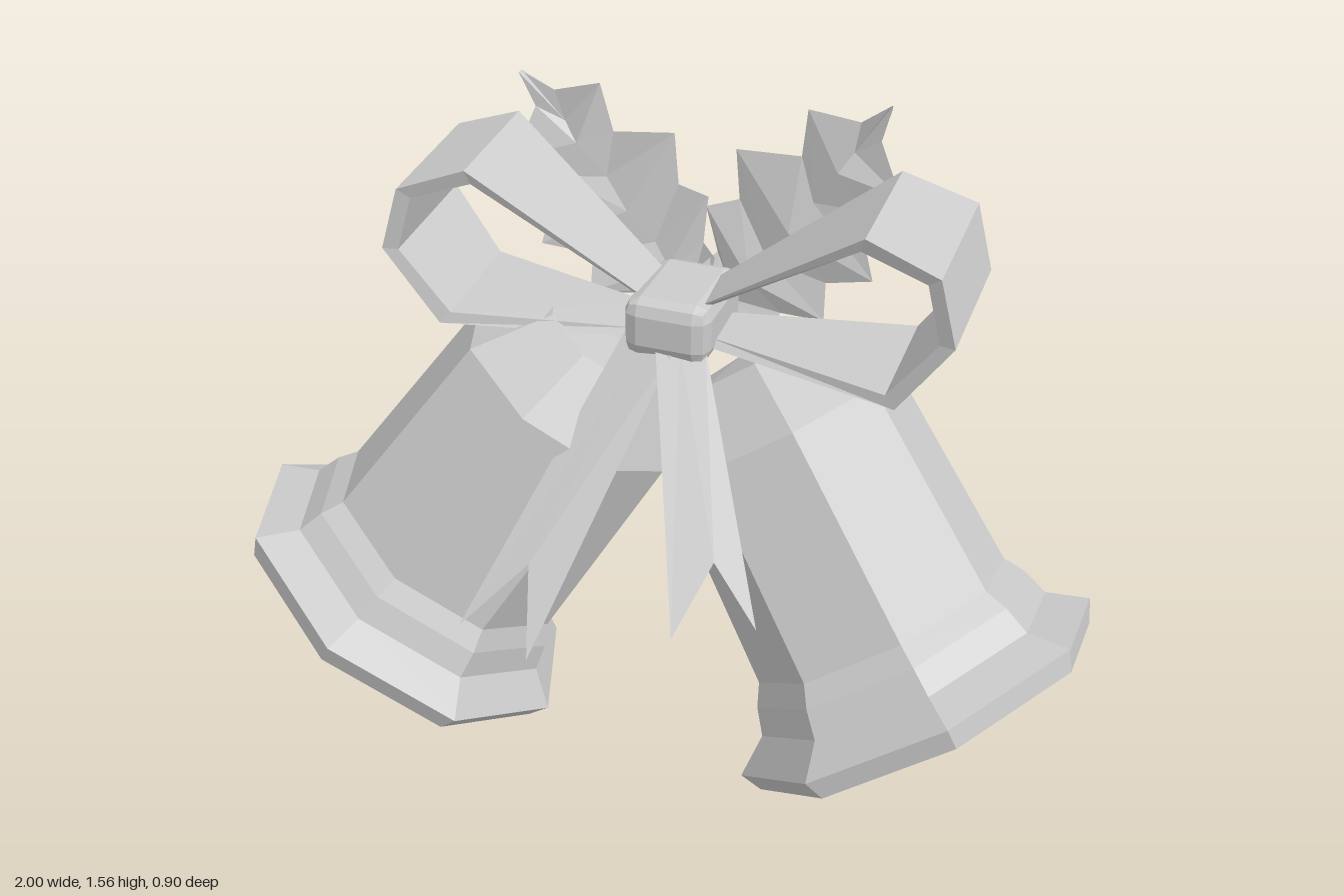
import * as THREE from 'three';
import { RoundedBoxGeometry } from 'three/addons/geometries/RoundedBoxGeometry.js';

const solid = new THREE.MeshStandardMaterial({ color: 0xcccccc, flatShading: true });
const thin = new THREE.MeshStandardMaterial({ color: 0xcccccc, flatShading: true, side: THREE.DoubleSide });

function mesh(name, geometry, material = solid) {
  const m = new THREE.Mesh(geometry, material);
  m.name = name;
  return m;
}

// Skin between successive rows of points
function skin(rows, closed = false) {
  const n = rows[0].length, index = [];
  const iMax = closed ? rows.length : rows.length - 1;
  const jMax = closed ? n : n - 1;
  for (let i = 0; i < iMax; i++) {
    for (let j = 0; j < jMax; j++) {
      const next = ((i + 1) % rows.length) * n;
      const a = i * n + j, b = i * n + (j + 1) % n;
      const c = next + j, d = next + (j + 1) % n;
      index.push(a, c, b, b, c, d);
    }
  }
  const g = new THREE.BufferGeometry();
  g.setAttribute('position', new THREE.Float32BufferAttribute(rows.flat(2), 3));
  g.setIndex(index);
  g.computeVertexNormals();
  return g;
}

// Bell: eight-sided hollow shell with a stepped lip, plus clapper; origin at the mouth
function bell(name, mouth, axis, turn) {
  const profile = [
    [0, 0.78], [0.15, 0.77], [0.26, 0.66], [0.315, 0.08], [0.425, -0.035],
    [0.45, 0.015], [0.365, 0.075], [0.345, 0.14], [0.315, 0.19],
    [0.29, 0.70], [0.17, 0.86], [0, 0.88],
  ].map(([r, y]) => new THREE.Vector2(r, y));
  const g = new THREE.Group();
  g.name = name;
  const shell = mesh('bellShell', new THREE.LatheGeometry(profile, 8, THREE.MathUtils.degToRad(turn)), thin);
  const ball = mesh('clapperBall', new THREE.SphereGeometry(0.13, 8, 5));
  ball.position.y = 0.1;
  const stem = mesh('clapperStem', new THREE.CylinderGeometry(0.035, 0.035, 0.6, 6));
  stem.position.y = 0.48;
  g.add(shell, ball, stem);
  g.position.set(...mouth);
  const up = new THREE.Vector3(...axis).negate().normalize();
  g.quaternion.setFromUnitVectors(new THREE.Vector3(0, 1, 0), up);
  return g;
}

// Bow loop: closed strip, narrow at the knot, wide at the outer end, back edge a little higher
function bowLoop(name, path, zOuter) {
  const cx = path.reduce((s, p) => s + p[0], 0) / path.length;
  const cy = path.reduce((s, p) => s + p[1], 0) / path.length;
  const rows = path.map(([x, y, half]) => {
    const z = half < 0.1 ? -0.15 : zOuter;
    const dx = cx - x, dy = cy - y, l = Math.hypot(dx, dy);
    const ix = x + dx / l * 0.035, iy = y + dy / l * 0.035;
    const rise = half * 0.08, inner = half - 0.01;
    return [[x, y - rise, z + half], [x, y + rise, z - half], [ix, iy + rise, z - inner], [ix, iy - rise, z + inner]];
  });
  return mesh(name, skin(rows, true), thin);
}

// Ribbon tail: flat strip with a notched end
function tail(name, topA, topB, tipA, notch, tipB) {
  const mid = topA.map((v, i) => (v + topB[i]) / 2);
  return mesh(name, skin([[topA, mid, topB], [tipA, notch, tipB]]), thin);
}

// Holly leaf: spiky outline, shallow pleats slanting from the midrib, outer side turned forward
function leaf(name, base, tip) {
  const outline = [
    [0, 0.02], [0.12, 0.11], [0.18, 0.1], [0.29, 0.185], [0.38, 0.135], [0.52, 0.21],
    [0.65, 0.085], [0.8, 0.138], [0.88, 0.03], [1, 0.003],
  ];
  const B = new THREE.Vector3(...base), T = new THREE.Vector3(...tip);
  const dir = T.clone().sub(B).normalize();
  const side = new THREE.Vector3(-dir.y, dir.x, -0.2 * Math.sign(dir.x));
  const rows = outline.map(([t, w], i) => {
    const fold = i % 2 ? 0.01 : -0.01;
    const rib = B.clone().lerp(T, t < 1 ? Math.max(0, t - 0.1) : 1);
    rib.z += fold - 0.012;
    const edge = s => {
      const p = B.clone().lerp(T, t).addScaledVector(side, s * w);
      p.z += fold;
      return p;
    };
    return [edge(1), rib, edge(-1)].map(p => p.toArray());
  });
  return mesh(name, skin(rows), thin);
}

export function createModel() {
  const model = new THREE.Group();
  model.name = 'bellsWithBow';

  model.add(
    bell('leftBell', [0.655, 0.285, -0.02], [0.57, -0.8, 0.215], 28),
    bell('rightBell', [-0.625, 0.28, 0.015], [-0.54, -0.81, 0.22], 41),
  );

  // Bow
  const knot = mesh('bowKnot', new RoundedBoxGeometry(0.2, 0.14, 0.26, 1, 0.035));
  knot.position.set(0.025, 1.1, -0.15);
  model.add(
    knot,
    bowLoop('leftBowLoop', [
      [0.06, 1.14, 0.06], [0.475, 1.445, 0.15], [0.64, 1.39, 0.165],
      [0.68, 1.24, 0.165], [0.56, 1.065, 0.15], [0.06, 1.065, 0.06],
    ], -0.115),
    bowLoop('rightBowLoop', [
      [-0.02, 1.14, 0.06], [-0.43, 1.435, 0.15], [-0.59, 1.375, 0.165],
      [-0.635, 1.225, 0.165], [-0.51, 1.05, 0.15], [-0.02, 1.055, 0.06],
    ], -0.16),
    tail('leftTail', [0, 1.07, -0.04], [0.11, 1.07, -0.06], [0.195, 0.61, 0.39], [0.245, 0.735, 0.26], [0.365, 0.635, 0.33]),
    tail('rightTail', [-0.08, 1.07, -0.06], [0.05, 1.07, -0.04], [-0.315, 0.5, 0.37], [-0.18, 0.64, 0.28], [-0.14, 0.47, 0.4]),
  );

  // Leaves behind the bow
  model.add(
    leaf('leftLeaf', [0.05, 0.99, -0.33], [0.42, 1.555, -0.37]),
    leaf('rightLeaf', [0.01, 1.0, -0.33], [-0.47, 1.5, -0.42]),
  );
  return model;
}
